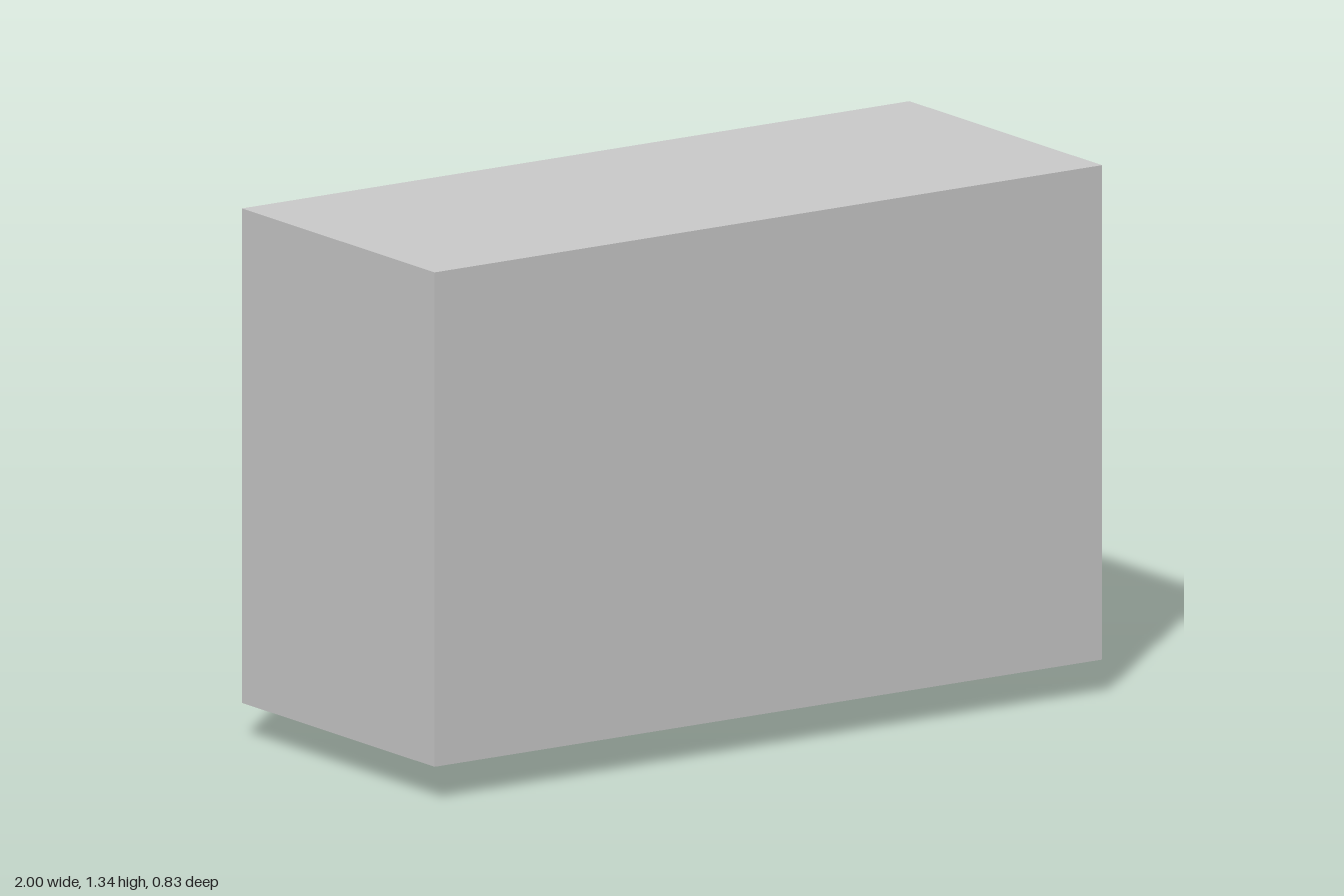
import * as THREE from 'three';
import { toCreasedNormals } from 'three/addons/utils/BufferGeometryUtils.js';

const grey = new THREE.MeshStandardMaterial({ color: 0xcccccc });

function addBox(group, name, [x0, x1], [y0, y1], [z0, z1]) {
  const mesh = new THREE.Mesh(new THREE.BoxGeometry(x1 - x0, y1 - y0, z1 - z0), grey);
  mesh.name = name;
  mesh.position.set((x0 + x1) / 2, (y0 + y1) / 2, (z0 + z1) / 2);
  group.add(mesh);
}

// Bow handle: an oval section swept along a path in the yz plane, mitred at the corners
function handleGeometry() {
  const zFront = 0.048, zBack = -0.274, bow = 16, sides = 24;
  const path = [new THREE.Vector2(zFront, 0.075)];
  for (let i = 0; i <= bow; i++) {
    const t = i / bow;
    path.push(new THREE.Vector2(
      THREE.MathUtils.lerp(zFront, zBack, t),
      0.032 - 0.0235 * 4 * t * (1 - t)));
  }
  path.push(new THREE.Vector2(zBack, 0.075));

  const positions = [], index = [];
  path.forEach((p, i) => {
    const into = p.clone().sub(path[Math.max(i - 1, 0)]).normalize();
    const out = path[Math.min(i + 1, path.length - 1)].clone().sub(p).normalize();
    if (i === 0) into.copy(out);
    if (i === path.length - 1) out.copy(into);
    const tangent = into.clone().add(out).normalize();
    const mitre = 1 / tangent.dot(out);
    const post = i === 0 || i === path.length - 1;
    const halfWidth = post ? 0.023 : 0.027;
    const halfDepth = (post ? 0.007 : 0.0085) * mitre;
    for (let j = 0; j < sides; j++) {
      const a = (j / sides) * Math.PI * 2;
      const d = Math.sin(a) * halfDepth;
      positions.push(Math.cos(a) * halfWidth, p.y + tangent.x * d, p.x - tangent.y * d);
    }
  });
  for (let i = 0; i < path.length - 1; i++) {
    for (let j = 0; j < sides; j++) {
      const k = (j + 1) % sides;
      const a = i * sides + j, b = i * sides + k;
      index.push(a, b, a + sides, b, b + sides, a + sides);
    }
  }
  const geometry = new THREE.BufferGeometry();
  geometry.setAttribute('position', new THREE.Float32BufferAttribute(positions, 3));
  geometry.setIndex(index);
  return toCreasedNormals(geometry, 1.1);
}

export function createModel() {
  const group = new THREE.Group();
  group.name = 'cabinet';

  // Closed carcass, with a thin door panel on its underside
  addBox(group, 'carcass', [-1, 1], [0.09, 1.34], [-0.415, 0.415]);
  addBox(group, 'doorPanel', [-0.95, 0.95], [0.07, 0.09], [-0.415, 0.335]);

  // Pair of handles either side of the middle
  const handle = handleGeometry();
  for (const side of [-1, 1]) {
    const mesh = new THREE.Mesh(handle, grey);
    mesh.name = side > 0 ? 'leftHandle' : 'rightHandle';
    mesh.position.x = side * 0.048;
    group.add(mesh);
  }
  return group;
}
